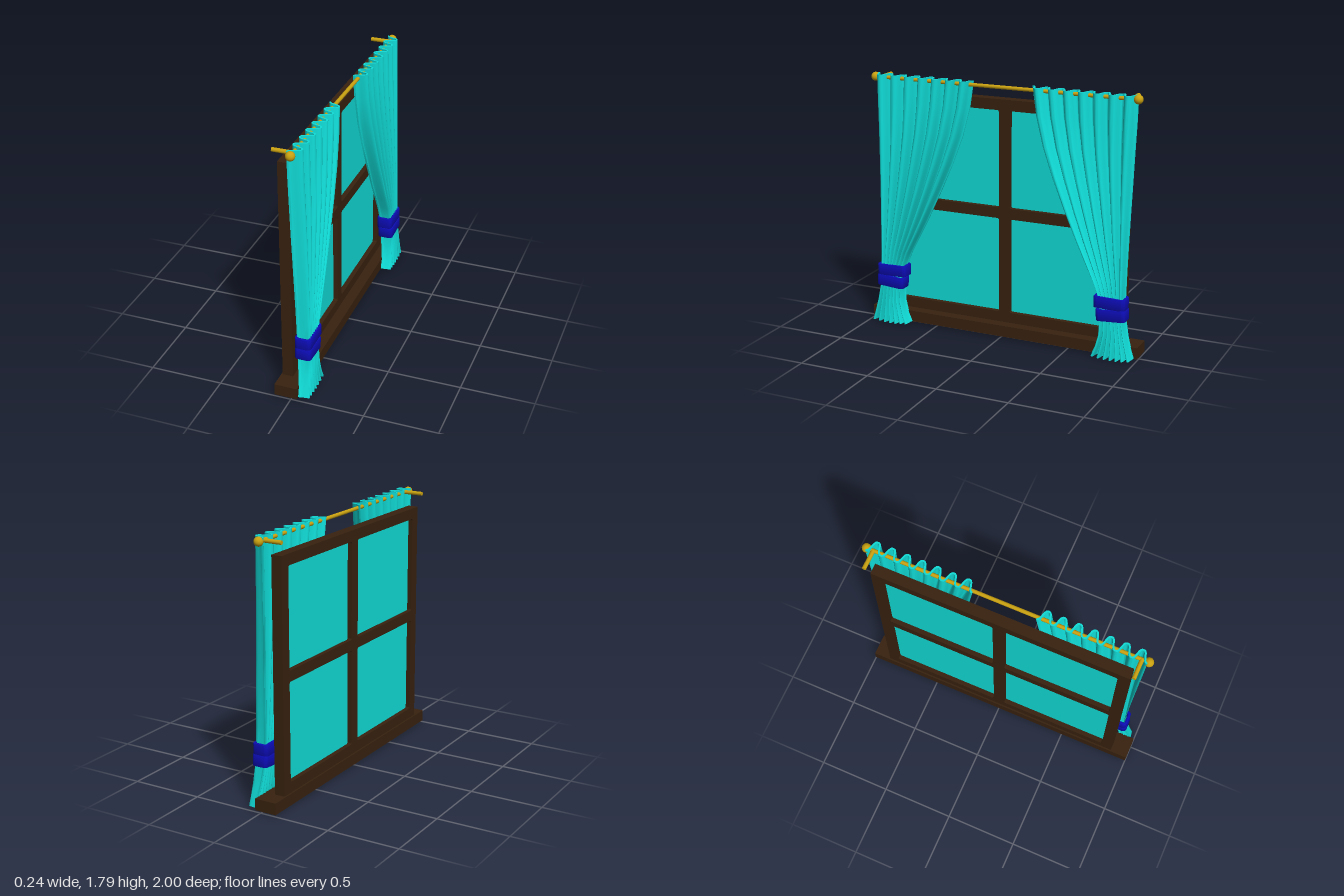
import * as THREE from 'three';
import { toCreasedNormals } from 'three/addons/utils/BufferGeometryUtils.js';

const mat = (name, color) => Object.assign(new THREE.MeshStandardMaterial({ color }), { name });

// Rows of the curtain from top to hem: y, inner z, outer z, back x, front x
const ROWS = [
  [1.785, 0.215, 0.945, -0.016, 0.07], [1.6, 0.242, 0.94, -0.014, 0.074],
  [1.4, 0.295, 0.932, -0.011, 0.079], [1.2, 0.37, 0.925, -0.007, 0.084],
  [1.0, 0.458, 0.918, -0.002, 0.089], [0.8, 0.552, 0.912, 0.003, 0.094],
  [0.65, 0.628, 0.908, 0.007, 0.097], [0.54, 0.685, 0.906, 0.01, 0.099],
  [0.45, 0.722, 0.905, 0.012, 0.1], [0.35, 0.738, 0.907, 0.015, 0.101],
  [0.27, 0.742, 0.915, 0.02, 0.104], [0.17, 0.737, 0.935, 0.03, 0.108],
  [0.08, 0.712, 0.96, 0.038, 0.112], [0.005, 0.685, 0.98, 0.044, 0.116],
];

// Closed pleated cross-section, normalised to 0..1 in depth (v) and width (u)
function pleatSection() {
  const folds = 7, n = folds * 16, w = 0.73, d = 0.086, half = 0.006;
  const wave = (t) => d / 2 - (d / 2 - half) * Math.tanh(1.6 * Math.cos(2 * Math.PI * folds * t)) / Math.tanh(1.6);
  const front = [], back = [];
  for (let i = 0; i <= n; i++) {
    const t = i / n, e = 1e-4;
    const dx = (wave(t + e) - wave(t - e)) / (2 * e);
    const len = Math.hypot(dx, w);
    const nx = (w / len) * half, nz = (-dx / len) * half;
    front.push([(wave(t) + nx) / d, t + nz / w]);
    back.push([(wave(t) - nx) / d, t - nz / w]);
  }
  return [...front, ...back.reverse()];
}

// Loft the pleats through all rows; side is +1 or -1 along z
function curtainGeometry(side) {
  const section = pleatSection();
  if (side < 0) section.reverse();
  const m = section.length, pos = [], idx = [];
  ROWS.forEach(([y, zi, zo, xb, xf], r) => {
    for (const [v, u] of section) {
      const lift = r === ROWS.length - 1 ? 0.015 * (2 * u - 1) ** 2 : 0;
      pos.push(xb + (xf - xb) * v, y + lift, side * (zi + (zo - zi) * u));
    }
  });
  for (let r = 0; r < ROWS.length - 1; r++) {
    for (let j = 0; j < m; j++) {
      const a = r * m + j, b = r * m + ((j + 1) % m);
      idx.push(a, b, b + m, a, b + m, a + m);
    }
  }
  // Top and bottom edges of the cloth
  const last = (ROWS.length - 1) * m;
  for (let i = 0; i < m / 2 - 1; i++) {
    const [a, b, c, d] = [i, i + 1, m - 2 - i, m - 1 - i];
    idx.push(a, c, b, a, d, c);
    idx.push(last + a, last + b, last + c, last + a, last + c, last + d);
  }
  const geo = new THREE.BufferGeometry();
  geo.setAttribute('position', new THREE.Float32BufferAttribute(pos, 3));
  geo.setIndex(idx);
  return toCreasedNormals(geo, 1.0);
}

// Rectangle outline with rounded corners
function roundRect(Type, cx, cy, w, h, r) {
  const p = new Type(), x = w / 2 - r, y = h / 2 - r;
  p.absarc(cx + x, cy + y, r, 0, Math.PI / 2);
  p.absarc(cx - x, cy + y, r, Math.PI / 2, Math.PI);
  p.absarc(cx - x, cy - y, r, Math.PI, Math.PI * 1.5);
  p.absarc(cx + x, cy - y, r, Math.PI * 1.5, Math.PI * 2);
  p.closePath();
  return p;
}

// Hollow band wrapped around a gathered curtain
function bandGeometry(width) {
  const bevel = 0.007, height = 0.082;
  const shape = roundRect(THREE.Shape, 0, 0, 0.112 - 2 * bevel, width - 2 * bevel, 0.018);
  shape.holes.push(roundRect(THREE.Path, 0, 0, 0.084, width - 0.028, 0.012));
  const geo = new THREE.ExtrudeGeometry(shape, {
    depth: height - 2 * bevel, bevelThickness: bevel, bevelSize: bevel, bevelSegments: 2, curveSegments: 4,
  });
  geo.translate(0, 0, bevel - height / 2).rotateX(-Math.PI / 2);
  return toCreasedNormals(geo, 0.7);
}

export function createModel() {
  const wood = mat('dark wood', 0x38220f);
  const teal = mat('turquoise', 0x10dcd7);
  const gold = mat('gold', 0xc8a010);
  const blue = mat('deep blue', 0x0c0cb4);
  const model = new THREE.Group();
  model.name = 'curtainedWindow';
  const add = (name, geo, material, x = 0, y = 0, z = 0) => {
    const mesh = new THREE.Mesh(geo, material);
    mesh.name = name;
    mesh.position.set(x, y, z);
    model.add(mesh);
    return mesh;
  };

  // Window frame with four openings
  const frame = new THREE.Shape();
  frame.moveTo(-0.88, 0.09).lineTo(0.88, 0.09).lineTo(0.88, 1.67).lineTo(-0.88, 1.67).closePath();
  for (const s of [-1, 1]) {
    for (const cy of [0.5075, 1.2575]) {
      frame.holes.push(roundRect(THREE.Path, s * 0.4225, cy, 0.765, 0.675, 0.012));
    }
  }
  const frameGeo = new THREE.ExtrudeGeometry(frame, { depth: 0.073, bevelEnabled: false, curveSegments: 2 });
  add('windowFrame', frameGeo.rotateY(Math.PI / 2), wood, -0.104);
  add('windowSill', new THREE.BoxGeometry(0.155, 0.08, 2), wood, -0.036, 0.056);
  add('glassPane', new THREE.BoxGeometry(0.009, 1.5, 1.68), teal, -0.068, 0.8825);

  // Curtain rod
  add('curtainRod', new THREE.CylinderGeometry(0.013, 0.013, 1.9, 16).rotateX(Math.PI / 2), gold, 0.012, 1.76);

  for (const s of [1, -1]) {
    const label = s > 0 ? 'left' : 'right';
    add(label + 'Finial', new THREE.SphereGeometry(0.031, 20, 14), gold, 0.012, 1.76, s * 0.951);
    add(label + 'RodBracket', new THREE.CylinderGeometry(0.014, 0.014, 0.137, 16).rotateZ(Math.PI / 2),
      gold, -0.056, 1.76, s * 0.905);
    add(label + 'Curtain', curtainGeometry(s), teal);
    // Two slightly tilted tie bands
    const upper = add(label + 'UpperTie', bandGeometry(0.222), blue, 0.054, 0.4, s * 0.815);
    const lower = add(label + 'LowerTie', bandGeometry(0.208), blue, 0.056, 0.317, s * 0.826);
    upper.rotation.x = s * 0.02;
    lower.rotation.x = s * -0.07;
  }
  return model;
}
